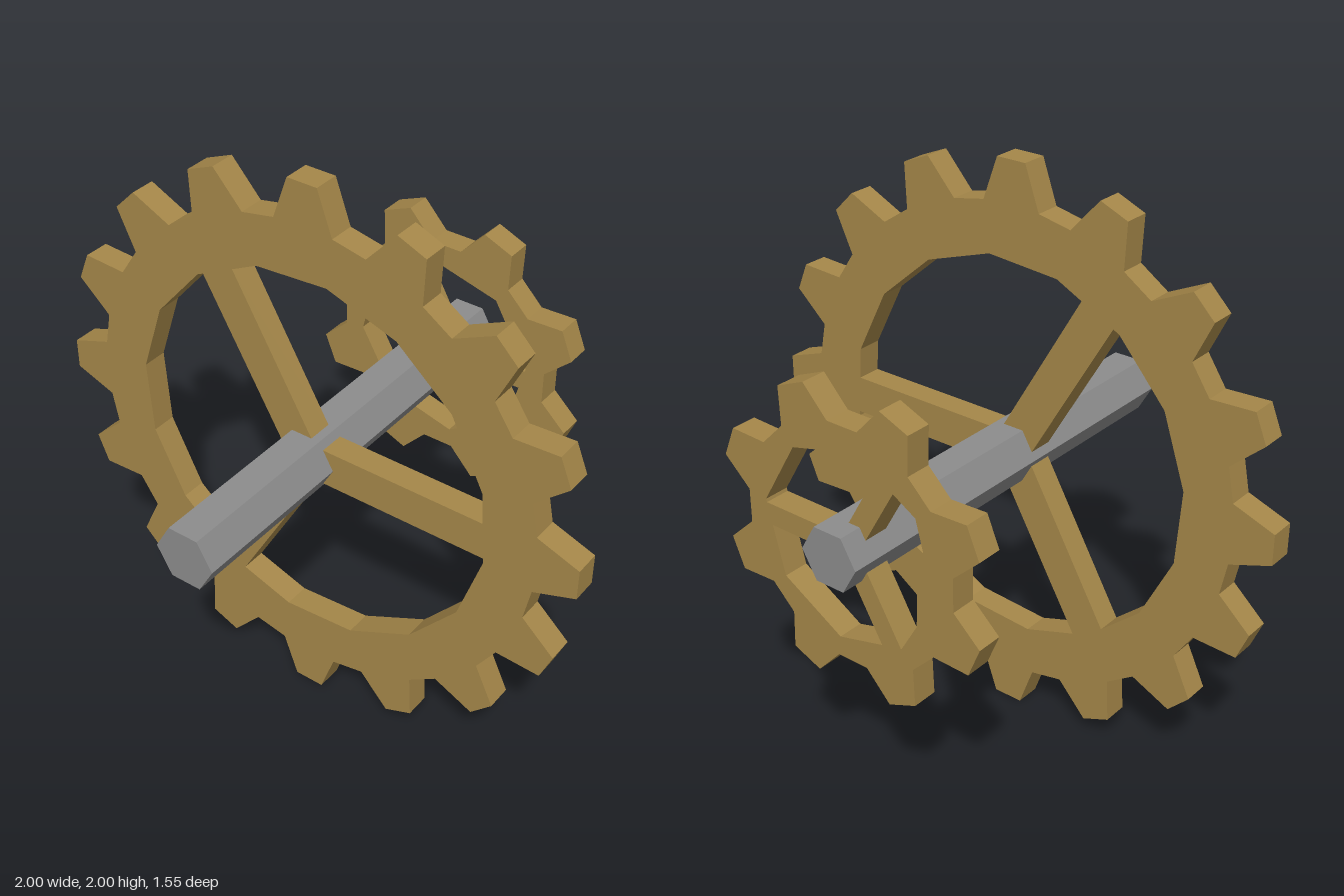
import * as THREE from 'three';

const CENTRE_Y = 1;
const DEG = Math.PI / 180;

const brass = new THREE.MeshStandardMaterial({ color: 0xa58749 });
brass.name = 'brass';
const steel = new THREE.MeshStandardMaterial({ color: 0x8c8c8c });
steel.name = 'steel';

const polar = (r, a) => new THREE.Vector2(r * Math.cos(a), r * Math.sin(a));

// Toothed ring with a polygonal opening and three spokes
function makeGear(name, { teeth, start, tip, root, hole, tipHalf, rootHalf, depth, spokeWidth }) {
  const gear = new THREE.Group();
  gear.name = name;

  const outline = [], opening = [];
  for (let i = 0; i < teeth; i++) {
    const a = start + (i / teeth) * Math.PI * 2;
    outline.push(
      polar(root, a - rootHalf), polar(tip, a - tipHalf),
      polar(tip, a + tipHalf), polar(root, a + rootHalf)
    );
    opening.push(polar(hole, a - rootHalf));
  }
  const shape = new THREE.Shape(outline);
  shape.holes.push(new THREE.Path(opening.reverse()));
  const ringGeometry = new THREE.ExtrudeGeometry(shape, { depth, bevelEnabled: false });
  ringGeometry.translate(0, 0, -depth / 2);
  const ring = new THREE.Mesh(ringGeometry, brass);
  ring.name = name + 'Ring';
  gear.add(ring);

  // Spokes run from the axle into the ring
  const length = hole * 1.01;
  for (let i = 0; i < 3; i++) {
    const geometry = new THREE.BoxGeometry(length, spokeWidth, depth);
    geometry.translate(length / 2, 0, 0);
    const spoke = new THREE.Mesh(geometry, brass);
    spoke.name = name + 'Spoke';
    spoke.rotation.z = i * 120 * DEG;
    gear.add(spoke);
  }
  return gear;
}

export function createModel() {
  const model = new THREE.Group();
  model.name = 'gearAxle';

  // Hexagonal axle along z
  const axleGeometry = new THREE.CylinderGeometry(0.108, 0.108, 1.55, 6).toNonIndexed();
  axleGeometry.rotateY(Math.PI / 2).rotateX(Math.PI / 2);
  axleGeometry.computeVertexNormals();
  const axle = new THREE.Mesh(axleGeometry, steel);
  axle.name = 'axle';
  axle.position.y = CENTRE_Y;
  model.add(axle);

  // Large front gear
  const largeGear = makeGear('largeGear', {
    teeth: 16, start: 0, tip: 1.0015, root: 0.858, hole: 0.682,
    tipHalf: 3.1 * DEG, rootHalf: 7.2 * DEG, depth: 0.09, spokeWidth: 0.134
  });
  largeGear.position.set(0, CENTRE_Y, 0.135);
  model.add(largeGear);

  // Small rear gear
  const smallGear = makeGear('smallGear', {
    teeth: 8, start: 22.5 * DEG, tip: 0.529, root: 0.415, hole: 0.343,
    tipHalf: 6.2 * DEG, rootHalf: 14.4 * DEG, depth: 0.09, spokeWidth: 0.075
  });
  smallGear.position.set(0, CENTRE_Y, -0.648);
  model.add(smallGear);

  return model;
}
